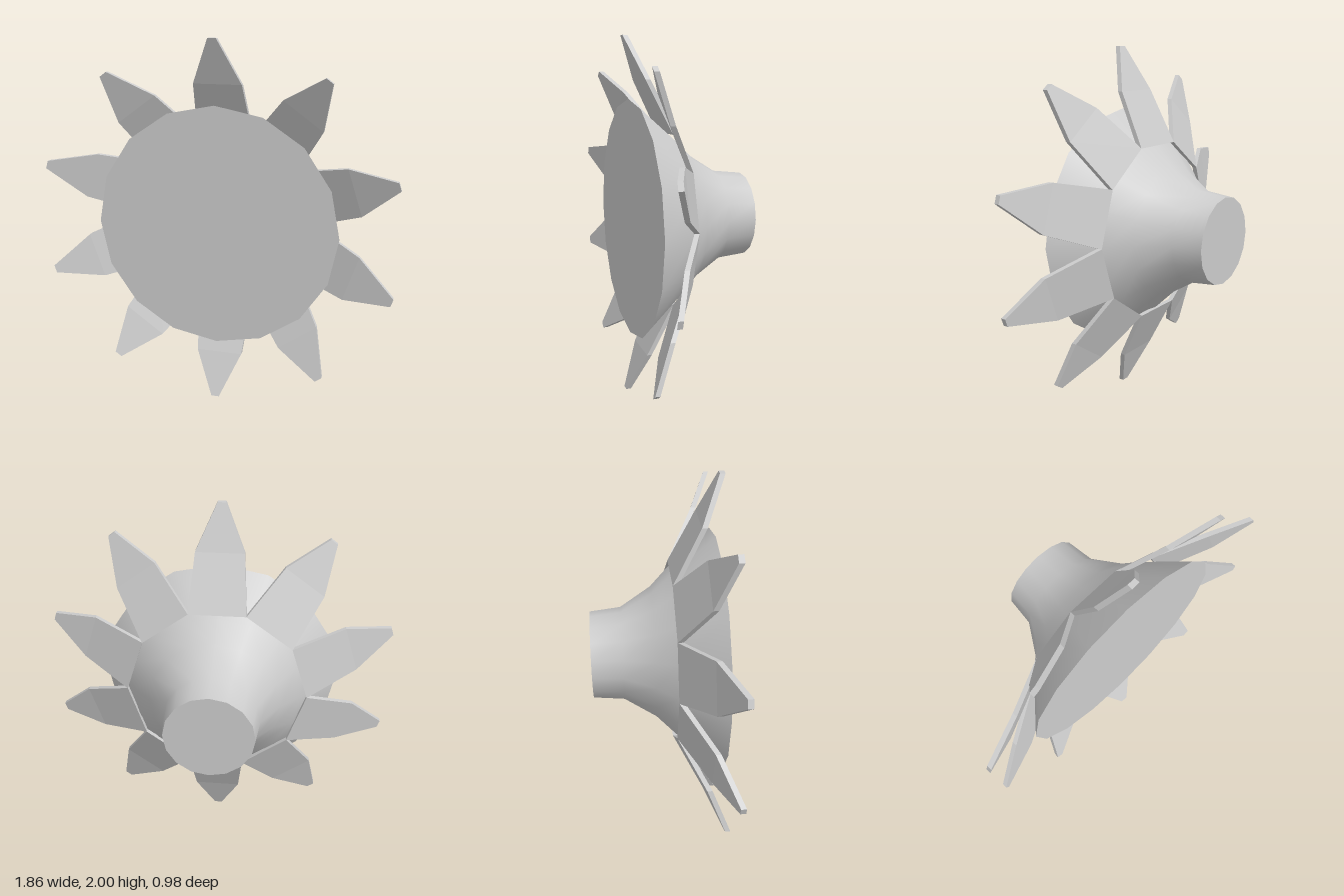
import * as THREE from 'three';

const SIDES = 16;
const PETALS = 10;

// Bent, tapering petal lofted through rectangular sections: [distance from axis, half width, z of back face]
function petalGeometry() {
  const sections = [[0.475, 0.155, -0.235], [0.765, 0.13, -0.09], [1.0, 0.022, 0.006]];
  const thick = 0.028;
  const rings = sections.map(([r, u, z]) => [
    [-u, r, z], [u, r, z], [u, r, z + thick], [-u, r, z + thick],
  ]);
  const pos = [];
  const quad = (a, b, c, d) => pos.push(...a, ...b, ...c, ...a, ...c, ...d);
  for (let i = 0; i < rings.length - 1; i++) {
    for (let j = 0; j < 4; j++) {
      const k = (j + 1) % 4;
      quad(rings[i][j], rings[i + 1][j], rings[i + 1][k], rings[i][k]);
    }
  }
  const tip = rings[rings.length - 1];
  quad(...rings[0]);
  quad(tip[3], tip[2], tip[1], tip[0]);
  const geo = new THREE.BufferGeometry();
  geo.setAttribute('position', new THREE.Float32BufferAttribute(pos, 3));
  geo.computeVertexNormals(); // unshared corners keep the faces flat
  return geo;
}

export function createModel() {
  const model = new THREE.Group();
  model.name = 'flower';
  const grey = new THREE.MeshStandardMaterial({ color: 0xcccccc });
  grey.name = 'light grey';

  // Flower faces +z, turned slightly towards its left
  const head = new THREE.Group();
  head.name = 'flowerHead';
  head.position.set(0, 1, 0.21);
  head.rotation.y = Math.PI / 12;
  model.add(head);

  const add = (geo, name) => {
    const mesh = new THREE.Mesh(geo, grey);
    mesh.name = name;
    head.add(mesh);
    return mesh;
  };

  // Flared trumpet body, from the stem end to the front rim
  const profile = [[0.238, -0.665], [0.255, -0.5], [0.36, -0.333], [0.46, -0.235], [0.665, 0]]
    .map(([r, z]) => new THREE.Vector2(r, z));
  add(new THREE.LatheGeometry(profile, SIDES).rotateX(Math.PI / 2), 'trumpet');

  // Flat end discs
  add(new THREE.CircleGeometry(0.665, SIDES), 'frontDisc');
  add(new THREE.CircleGeometry(0.238, SIDES).rotateY(Math.PI), 'stemEnd').position.z = -0.665;

  // Ring of petals
  const petal = petalGeometry();
  for (let i = 0; i < PETALS; i++) {
    add(petal, `petal${i + 1}`).rotation.z = (i / PETALS) * Math.PI * 2;
  }
  return model;
}
